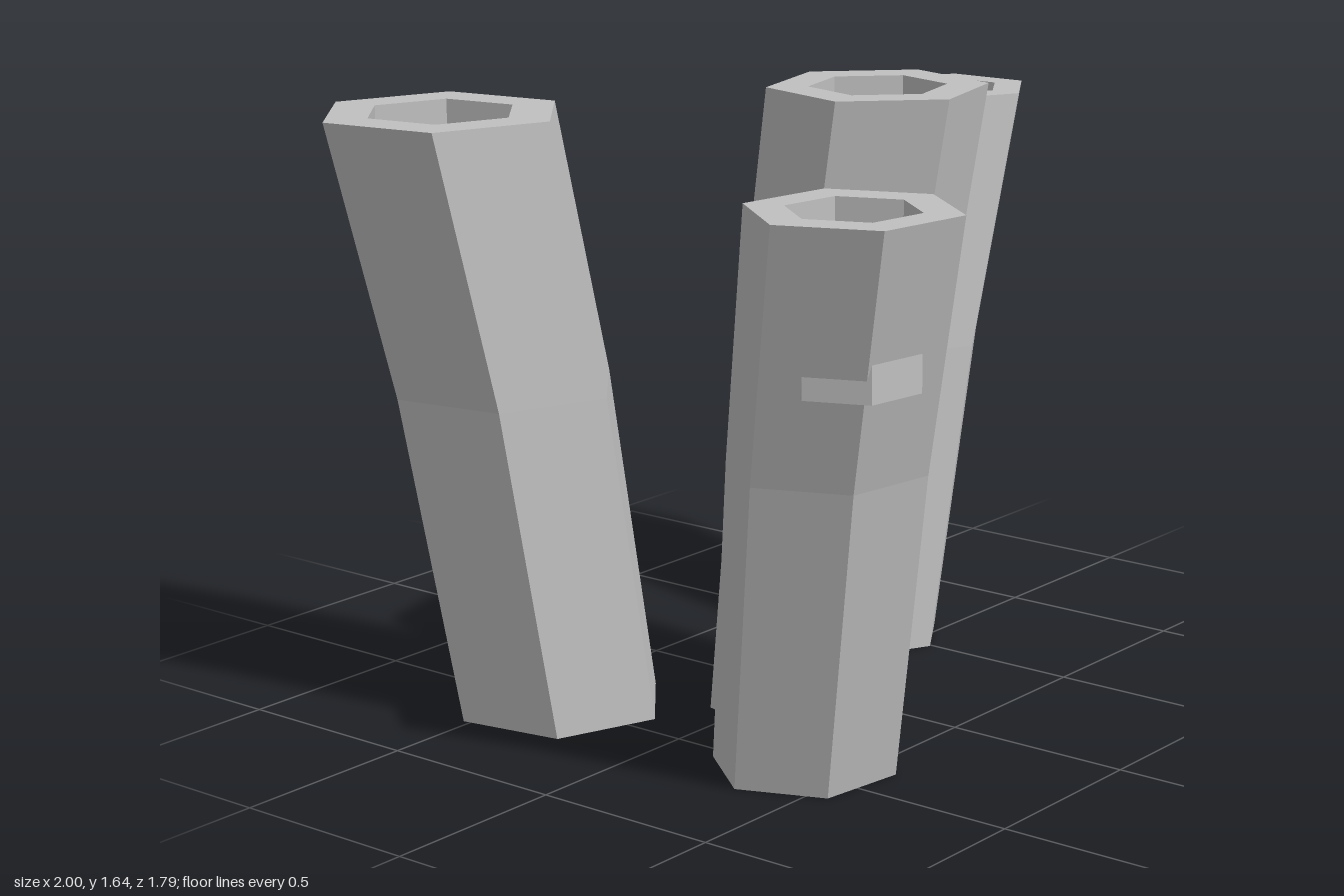
import * as THREE from 'three';

const SIDES = 6;
const stone = new THREE.MeshStandardMaterial({ color: 0xc0c0c0, side: THREE.DoubleSide, flatShading: true });
stone.name = 'grey stone';

// Joins hexagonal rings [x, y, z, radius] into a faceted surface; radius 0 closes it.
function loft(name, rings, turn) {
  const points = [];
  const corner = ([x, y, z, r], i) => {
    const a = turn + (i % SIDES) * Math.PI * 2 / SIDES;
    return [x + r * Math.cos(a), y, z + r * Math.sin(a)];
  };
  for (let k = 0; k < rings.length - 1; k++) {
    const low = rings[k], high = rings[k + 1];
    for (let i = 0; i < SIDES; i++) {
      const a = corner(low, i), b = corner(low, i + 1);
      const c = corner(high, i), d = corner(high, i + 1);
      if (high[3] > 0) points.push(...a, ...c, ...d);
      if (low[3] > 0) points.push(...a, ...d, ...b);
    }
  }
  const geometry = new THREE.BufferGeometry();
  geometry.setAttribute('position', new THREE.Float32BufferAttribute(points, 3));
  geometry.computeVertexNormals();
  const mesh = new THREE.Mesh(geometry, stone);
  mesh.name = name;
  return mesh;
}

// A leaning, slightly bent column with an upright hexagonal pit in its top.
function column({ name, base, top, height, radius, turn }) {
  const [bx, bz] = base, [tx, tz] = top;
  const lean = 0.47, bend = 0.55 * height;
  const hole = radius * 0.625, floor = height - 0.422;
  const group = new THREE.Group();
  group.name = name;
  group.add(
    loft('shaft', [
      [bx, 0, bz, 0],
      [bx, 0, bz, radius * 0.89],
      [bx + (tx - bx) * lean, bend, bz + (tz - bz) * lean, radius * 0.945],
      [tx, height, tz, radius],
    ], turn),
    loft('rim', [[tx, height, tz, radius], [tx, height, tz, hole]], turn),
    loft('pit', [[tx, height, tz, hole], [tx, floor, tz, hole], [tx, floor, tz, 0]], turn),
  );
  return group;
}

export function createModel() {
  const model = new THREE.Group();
  model.name = 'stoneColumns';
  const columns = [
    { name: 'backColumn', base: [-0.473, -0.423], top: [-0.70, -0.583], height: 1.57, radius: 0.318, turn: Math.atan2(-0.315, -0.055) },
    { name: 'tallColumn', base: [-0.093, 0.085], top: [-0.082, 0.304], height: 1.645, radius: 0.276, turn: Math.atan2(-0.268, 0.071) },
    { name: 'frontColumn', base: [-0.456, 0.366], top: [-0.63, 0.645], height: 1.46, radius: 0.264, turn: Math.atan2(-0.245, -0.10) },
    { name: 'sideColumn', base: [0.485, -0.132], top: [0.80, -0.107], height: 1.495, radius: 0.222, turn: Math.atan2(-0.222, -0.009) },
  ];
  for (const c of columns) model.add(column(c));
  return model;
}
